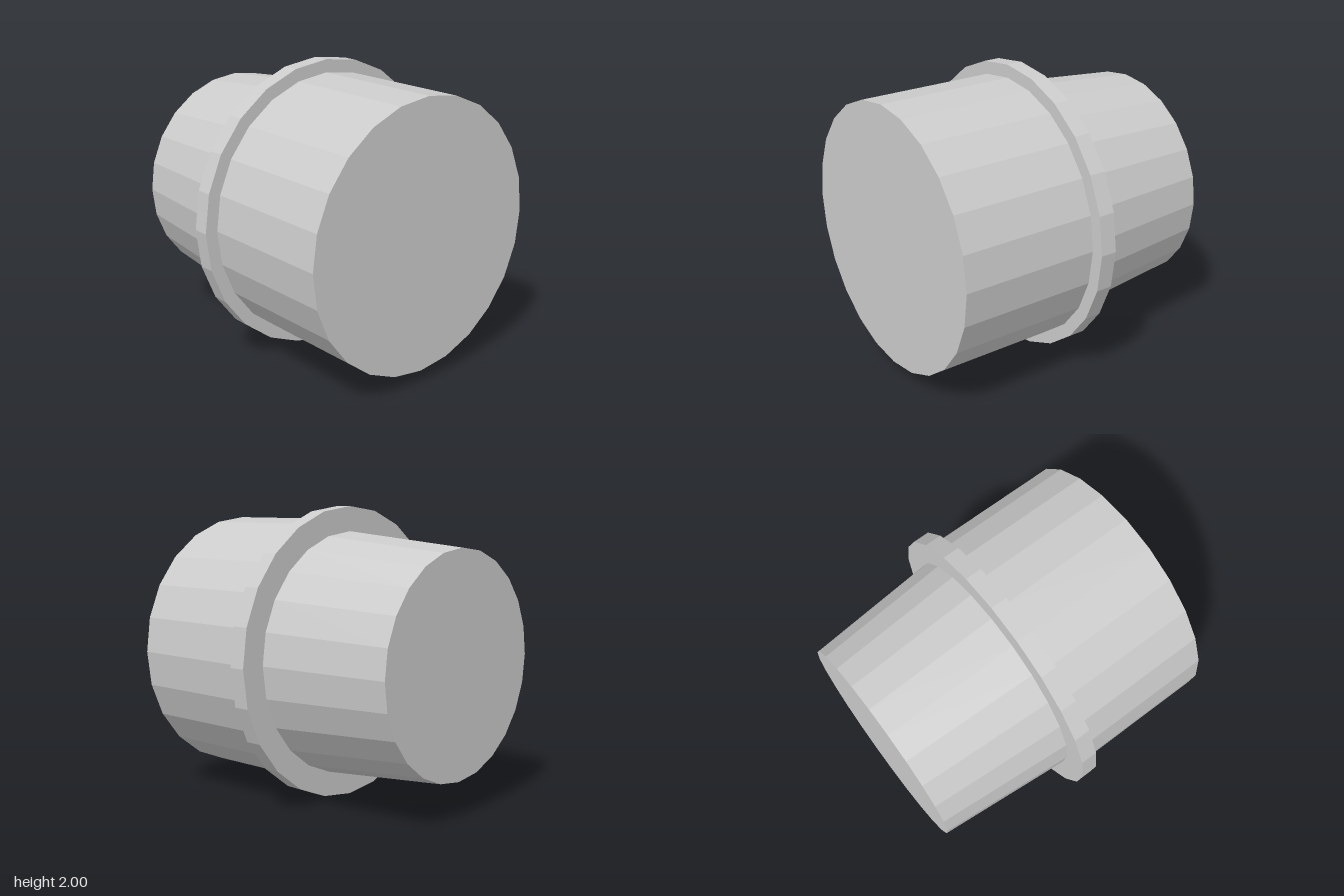
import * as THREE from 'three';

const SIDES = 24;
const AXIS_HEIGHT = 1;

export function createModel() {
  const group = new THREE.Group();
  group.name = 'flangedPlug';
  const material = new THREE.MeshStandardMaterial({ color: 0xcccccc, flatShading: true });

  // Faceted cylinder lying along z, from its back end to its front end
  function addSection(name, backZ, frontZ, backRadius, frontRadius) {
    const geometry = new THREE.CylinderGeometry(frontRadius, backRadius, frontZ - backZ, SIDES);
    geometry.rotateX(Math.PI / 2);
    const mesh = new THREE.Mesh(geometry, material);
    mesh.name = name;
    mesh.position.set(0, AXIS_HEIGHT, (backZ + frontZ) / 2);
    group.add(mesh);
  }

  // Straight front barrel
  addSection('frontBarrel', 0.047, 1, 0.912, 0.912);
  // Thin collar standing proud between the two barrels
  addSection('collar', -0.067, 0.047, 1, 1);
  // Rear barrel narrowing towards the back
  addSection('taperedRearBarrel', -1, -0.067, 0.75, 0.831);

  return group;
}
